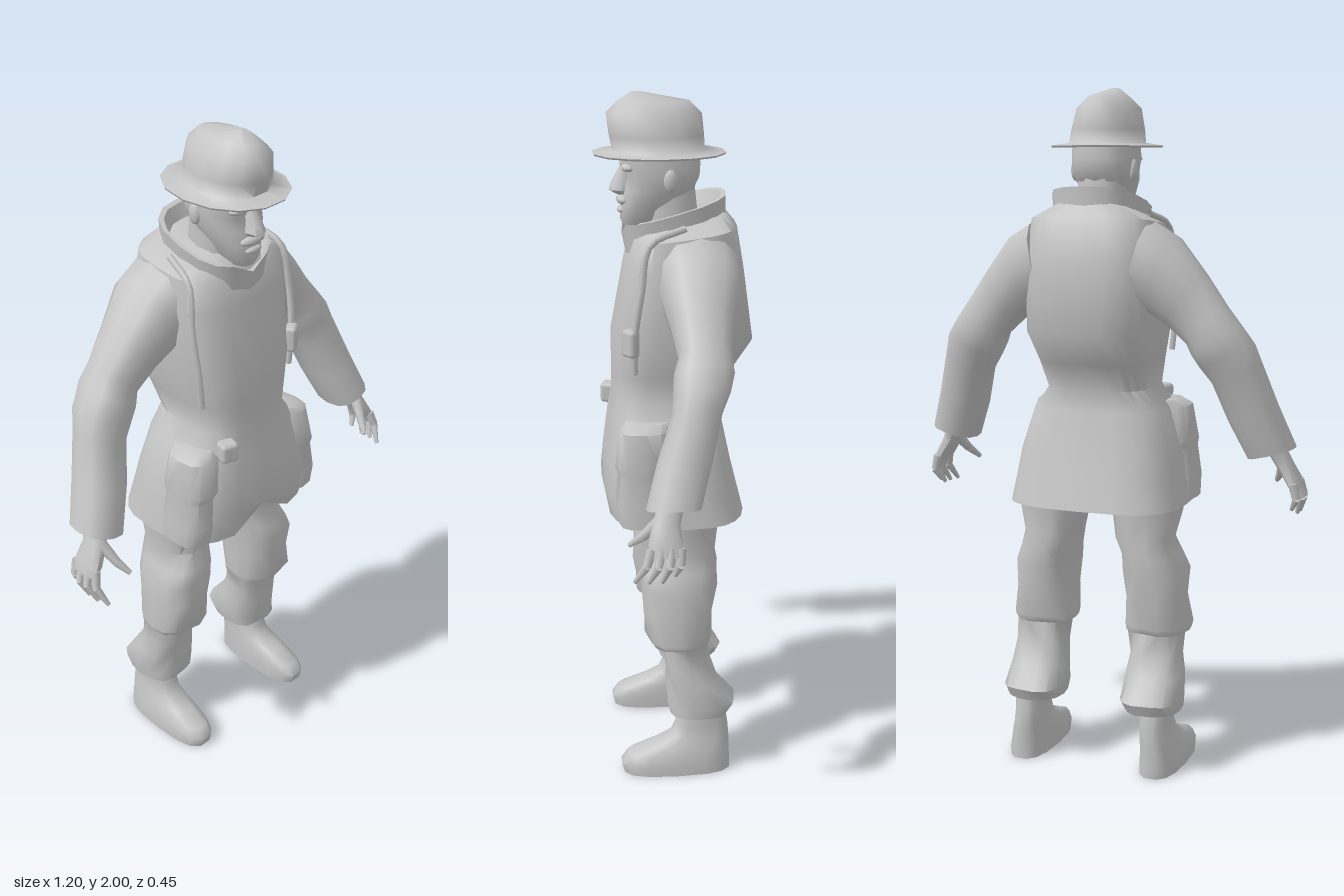
import * as THREE from 'three';
import { toCreasedNormals } from 'three/addons/utils/BufferGeometryUtils.js';
import { RoundedBoxGeometry } from 'three/addons/geometries/RoundedBoxGeometry.js';

const grey = new THREE.MeshStandardMaterial({ color: 0xc4c4c4, side: THREE.DoubleSide });
grey.name = 'plain grey';

// Skin over rings [x, y, halfWidth, zFront, zBack, rise along width, rise along z], listed downwards
function loft(rings, { seg = 14, power = 0.8, cap = true, crease = 0.9, rule = null } = {}) {
  const pos = [], idx = [];
  const bend = (v) => Math.sign(v) * Math.abs(v) ** power;
  for (const [x, y, w, zf, zb, dy = 0, sz = 0] of rings) {
    const rz = (zf - zb) / 2;
    for (let j = 0; j < seg; j++) {
      const t = (j / seg) * Math.PI * 2, c = bend(Math.cos(t)), s = bend(Math.sin(t));
      const p = new THREE.Vector3(x + w * c, y + dy * c + sz * rz * s, (zf + zb) / 2 + rz * s);
      if (rule) rule(p);
      pos.push(p.x, p.y, p.z);
    }
  }
  const n = rings.length;
  for (let i = 0; i < n - 1; i++) for (let j = 0; j < seg; j++) {
    const a = i * seg + j, b = i * seg + (j + 1) % seg;
    idx.push(a, b, a + seg, b, b + seg, a + seg);
  }
  if (cap) [0, n - 1].forEach((i, end) => {
    const [x, y, , zf, zb] = rings[i], m = pos.length / 3;
    pos.push(x, y, (zf + zb) / 2);
    for (let j = 0; j < seg; j++) {
      const a = i * seg + j, b = i * seg + (j + 1) % seg;
      idx.push(m, end ? a : b, end ? b : a);
    }
  });
  const g = new THREE.BufferGeometry();
  g.setAttribute('position', new THREE.Float32BufferAttribute(pos, 3));
  g.setIndex(idx);
  return toCreasedNormals(g, crease);
}

// Tapered limb between two points
function taper(a, b, r1, r2) {
  const A = new THREE.Vector3(...a), B = new THREE.Vector3(...b), d = B.clone().sub(A);
  const g = new THREE.CylinderGeometry(r2, r1, d.length(), 7);
  g.applyQuaternion(new THREE.Quaternion().setFromUnitVectors(new THREE.Vector3(0, 1, 0), d.normalize()));
  return g.translate(...A.add(B).multiplyScalar(0.5).toArray());
}

function box(w, h, d, x, y, z, ry) {
  return new RoundedBoxGeometry(w, h, d, 1, 0.012).rotateY(ry).translate(x, y, z);
}

function blob(x, y, z, rx, ry, rz) {
  return new THREE.SphereGeometry(1, 10, 7).scale(rx, ry, rz).translate(x, y, z);
}

// Reflected copy with the corner order restored
function reflect(geo) {
  const g = geo.index ? geo.toNonIndexed() : geo.clone();
  for (const name of ['position', 'normal']) {
    const at = g.attributes[name], v = new THREE.Vector3(), w = new THREE.Vector3();
    for (let i = 0; i < at.count; i++) at.setX(i, -at.getX(i));
    for (let i = 0; i < at.count; i += 3) {
      v.fromBufferAttribute(at, i + 1); w.fromBufferAttribute(at, i + 2);
      at.setXYZ(i + 1, w.x, w.y, w.z); at.setXYZ(i + 2, v.x, v.y, v.z);
    }
  }
  return g;
}

export function createModel() {
  const model = new THREE.Group();
  model.name = 'figure';
  const add = (name, geo) => {
    const m = new THREE.Mesh(geo, grey);
    m.name = name;
    model.add(m);
  };
  const pair = (name, geo) => {
    add('left ' + name, geo);
    add('right ' + name, reflect(geo));
  };

  // Jacket, open below, with a notched front hem
  add('jacket', loft([
    [0, 1.665, 0.04, 0.04, -0.05], [0, 1.655, 0.11, 0.10, -0.14, 0, -0.2],
    [0, 1.62, 0.185, 0.12, -0.175, 0, -0.12],
    [0, 1.52, 0.2, 0.14, -0.195], [0, 1.31, 0.19, 0.18, -0.225], [0, 1.22, 0.17, 0.18, -0.165],
    [0, 1.14, 0.155, 0.18, -0.125], [0, 1.08, 0.2, 0.19, -0.135], [0, 0.96, 0.238, 0.205, -0.16],
    [0, 0.88, 0.25, 0.213, -0.18], [0, 0.80, 0.262, 0.2, -0.2],
  ], { seg: 24, power: 0.64, cap: false, rule: (p) => {
    if (p.y < 0.85 && p.z > 0.1 && Math.abs(p.x) < 0.03) p.y += 0.065;
  } }));

  // Standing collar, dipping at the throat
  const dip = (p) => { if (p.z > 0.08 && Math.abs(p.x) < 0.06) p.y -= 0.03; };
  add('collar', loft([
    [0, 1.60, 0.085, 0.10, -0.10, 0, -0.2], [0, 1.68, 0.125, 0.135, -0.135, 0, -0.28],
    [0, 1.68, 0.136, 0.146, -0.15, 0, -0.28], [0, 1.59, 0.125, 0.13, -0.15, 0, -0.2],
  ], { seg: 16, cap: false, crease: 0.6, rule: dip }));

  // Head and face
  add('neck', loft([[0, 1.76, 0.07, 0.08, -0.06], [0, 1.57, 0.075, 0.08, -0.08]], { seg: 10 }));
  add('head', loft([
    [0, 1.87, 0.09, 0.13, -0.07], [0, 1.80, 0.094, 0.145, -0.078], [0, 1.77, 0.092, 0.13, -0.076],
    [0, 1.735, 0.086, 0.14, -0.06], [0, 1.69, 0.066, 0.148, -0.02], [0, 1.65, 0.05, 0.15, 0.01],
    [0, 1.625, 0.032, 0.138, 0.04],
  ], { seg: 16 }));
  add('nose', loft([
    [0, 1.795, 0.012, 0.15, 0.11], [0, 1.75, 0.02, 0.175, 0.11],
    [0, 1.73, 0.027, 0.18, 0.11], [0, 1.718, 0.018, 0.16, 0.11],
  ], { seg: 8 }));
  add('moustache', blob(0, 1.703, 0.142, 0.045, 0.014, 0.018));
  add('lower lip', blob(0, 1.675, 0.145, 0.03, 0.01, 0.013));
  pair('brow', blob(0.04, 1.797, 0.128, 0.035, 0.012, 0.02));
  pair('ear', blob(0.09, 1.765, 0.015, 0.012, 0.032, 0.02));

  // Hat with the brim running out of the crown
  add('hat', loft([
    [0, 1.998, 0.012, 0.115, 0.085], [0, 1.972, 0.052, 0.155, -0.05], [0, 1.94, 0.085, 0.188, -0.082],
    [0, 1.88, 0.1, 0.18, -0.088], [0, 1.842, 0.106, 0.172, -0.09], [0, 1.834, 0.155, 0.228, -0.15],
    [0, 1.829, 0.153, 0.225, -0.148],
  ], { seg: 14, power: 0.95, crease: 1.6 }));

  // Sleeves, gathered at the elbow
  pair('sleeve', loft([
    [0.15, 1.50, 0.03, 0.06, -0.175, 0.125], [0.21, 1.475, 0.035, 0.055, -0.17, 0.11],
    [0.28, 1.405, 0.05, 0.035, -0.14, 0.075], [0.34, 1.335, 0.055, 0.02, -0.125, 0.055],
    [0.365, 1.295, 0.066, 0.035, -0.13, 0.045], [0.395, 1.25, 0.076, 0.04, -0.115, 0.035],
    [0.42, 1.2, 0.07, 0.045, -0.09, 0.03],
    [0.46, 1.08, 0.07, 0.09, -0.06, 0.022], [0.507, 0.965, 0.067, 0.125, -0.025, 0.018],
  ], { seg: 12 }));

  // Hands
  pair('palm', loft([
    [0.51, 0.99, 0.03, 0.09, 0.02], [0.535, 0.935, 0.026, 0.11, 0.035],
    [0.562, 0.89, 0.022, 0.125, 0.03], [0.575, 0.86, 0.016, 0.12, 0.03],
  ], { seg: 10 }));
  for (let i = 0; i < 4; i++) {
    const z = 0.115 - i * 0.026, out = i % 3 === 0 ? 0 : 0.008;
    const mid = [0.583 + out, 0.835, z + 0.014 - i * 0.004];
    const tip = [0.566 + out, 0.785 + (i === 3 ? 0.015 : 0), z + 0.045 - i * 0.01];
    pair('finger base ' + (i + 1), taper([0.572, 0.88, z], mid, 0.014, 0.012));
    pair('finger tip ' + (i + 1), taper(mid, tip, 0.012, 0.006));
  }
  pair('thumb base', taper([0.53, 0.94, 0.09], [0.51, 0.89, 0.135], 0.019, 0.013));
  pair('thumb tip', taper([0.51, 0.89, 0.135], [0.49, 0.86, 0.168], 0.013, 0.007));

  // Trousers with baggy knees, gathered above the boots
  add('trouser seat', loft([
    [0, 1.06, 0.15, 0.12, -0.11], [0, 0.95, 0.2, 0.13, -0.13], [0, 0.88, 0.19, 0.09, -0.12],
  ], { seg: 16 }));
  pair('trouser leg', loft([
    [0.125, 0.95, 0.09, 0.09, -0.12], [0.138, 0.86, 0.105, 0.095, -0.12],
    [0.148, 0.78, 0.1, 0.10, -0.115], [0.147, 0.7, 0.085, 0.08, -0.11],
    [0.16, 0.65, 0.085, 0.105, -0.115], [0.172, 0.6, 0.092, 0.11, -0.11], [0.177, 0.52, 0.088, 0.105, -0.1],
    [0.182, 0.435, 0.094, 0.098, -0.09], [0.182, 0.42, 0.092, 0.09, -0.085],
    [0.182, 0.415, 0.083, 0.05, -0.08], [0.184, 0.35, 0.08, 0.04, -0.09], [0.185, 0.29, 0.084, 0.038, -0.12],
    [0.187, 0.225, 0.094, 0.035, -0.168], [0.187, 0.19, 0.086, 0.03, -0.15],
  ], { seg: 14, rule: (p) => {
    const crumple = 0.005 * Math.sin(p.y * 45 + p.x * 50);
    p.z += crumple;
    p.x += crumple * 0.6;
  } }));

  // Boots
  pair('boot', loft([
    [0.2, 0.24, 0.046, 0.0, -0.13], [0.201, 0.15, 0.043, 0.012, -0.145], [0.203, 0.115, 0.045, 0.03, -0.148],
    [0.206, 0.088, 0.05, 0.085, -0.15], [0.208, 0.06, 0.056, 0.16, -0.15], [0.21, 0.03, 0.06, 0.18, -0.152],
    [0.21, 0.0, 0.06, 0.172, -0.152],
  ], { seg: 14, power: 0.75 }));

  // Shoulder straps
  const strap = new THREE.CatmullRomCurve3([[0.15, 1.645, -0.02], [0.175, 1.605, 0.08], [0.188, 1.48, 0.105],
    [0.182, 1.34, 0.125], [0.172, 1.24, 0.125]].map((p) => new THREE.Vector3(...p)));
  pair('vest strap', new THREE.TubeGeometry(strap, 16, 0.01, 6));
  add('chest pouch', box(0.05, 0.08, 0.035, 0.172, 1.33, 0.135, 0.6));

  // Skirt pockets on the front corners, the upper flap flaring over the lower part
  pair('skirt pocket', loft([
    [0.165, 1.1, 0.045, 0.15, 0.03], [0.178, 1.08, 0.062, 0.17, 0.03],
    [0.192, 0.975, 0.065, 0.185, 0.02], [0.194, 0.955, 0.06, 0.178, 0.03],
    [0.202, 0.87, 0.064, 0.185, 0.02], [0.202, 0.805, 0.064, 0.175, 0.02],
  ], { seg: 12, power: 0.7, crease: 0.8 }));
  add('belt pouch', box(0.055, 0.06, 0.05, -0.125, 1.1, 0.178, -0.3));
  return model;
}
